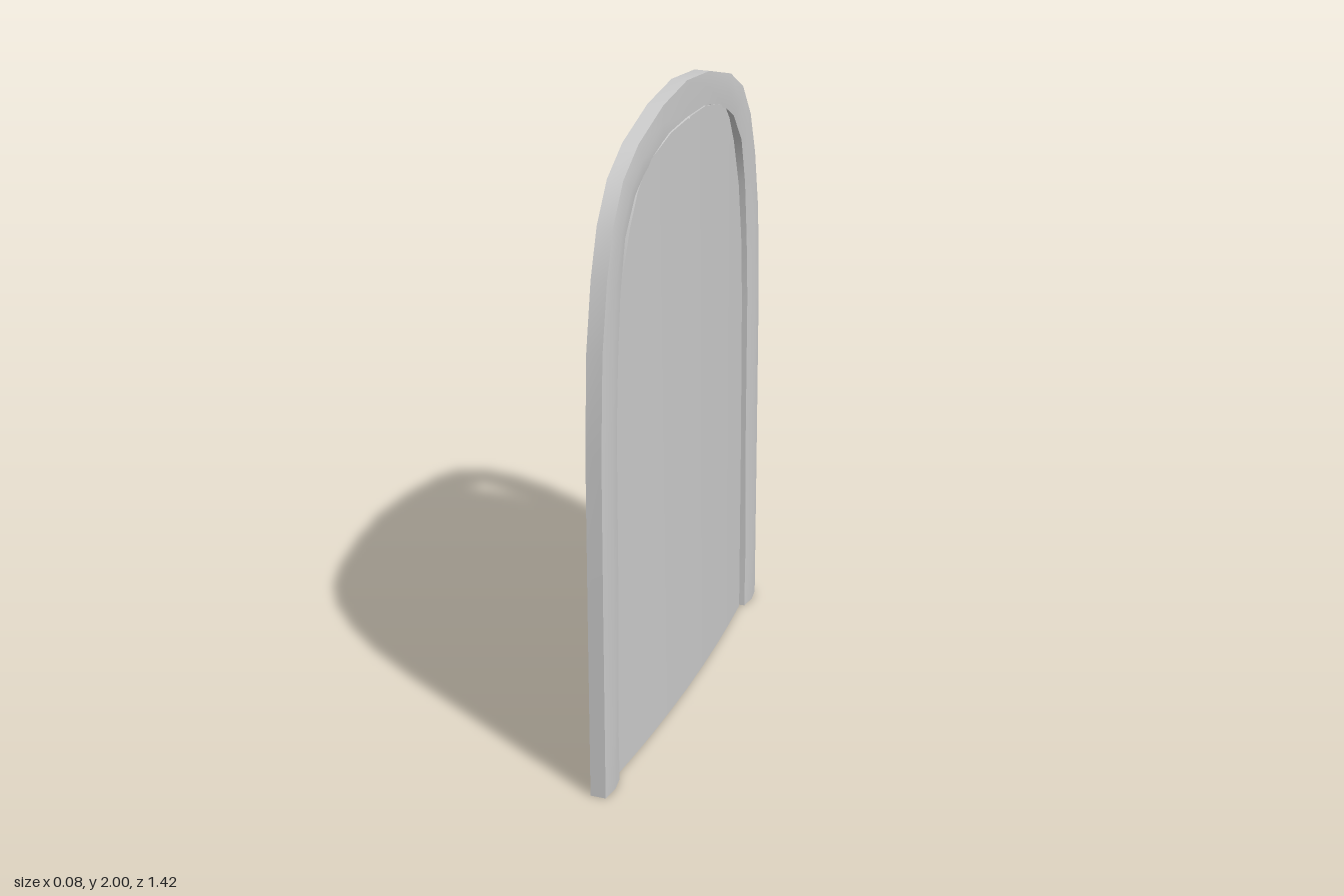
import * as THREE from 'three';
import { toCreasedNormals } from 'three/addons/utils/BufferGeometryUtils.js';

const material = new THREE.MeshStandardMaterial({ color: 0xcccccc });

// Skin a row of closed cross-sections and cap both ends
function loft(sections) {
  const n = sections[0].length, last = (sections.length - 1) * n;
  const pts = sections.flat(), index = [];
  for (let s = 0; s < sections.length - 1; s++) {
    for (let i = 0; i < n; i++) {
      const a = s * n + i, b = s * n + (i + 1) % n;
      index.push(a, b, b + n, a, b + n, a + n);
    }
  }
  for (let i = 1; i < n - 1; i++) {
    index.push(0, i + 1, i, last, last + i, last + i + 1);
  }
  // Turn the faces outward if the signed volume is negative
  let volume = 0;
  const v = new THREE.Vector3();
  for (let i = 0; i < index.length; i += 3) {
    const [a, b, c] = [0, 1, 2].map(k => pts[index[i + k]]);
    volume += a.dot(v.crossVectors(b, c));
  }
  if (volume < 0) index.reverse();
  const geometry = new THREE.BufferGeometry();
  geometry.setAttribute('position', new THREE.Float32BufferAttribute(pts.flatMap(p => p.toArray()), 3));
  geometry.setIndex(index);
  return toCreasedNormals(geometry, 0.45);
}

// Half arch from floor to crown: outer z, y, inner z, y, ridge x
const arch = [
  [0.71, 0, 0.595, 0, 0.036],
  [0.71, 0.2, 0.6, 0.2, 0.038],
  [0.71, 0.6, 0.588, 0.6, 0.036],
  [0.708, 1.1, 0.588, 1.13, 0.039],
  [0.69, 1.4, 0.573, 1.34, 0.036],
  [0.65, 1.6, 0.55, 1.53, 0.035],
  [0.6, 1.74, 0.51, 1.68, 0.036],
  [0.52, 1.85, 0.43, 1.78, 0.036],
  [0.4, 1.92, 0.36, 1.82, 0.034],
  [0.2, 1.978, 0.2, 1.875, 0.03],
  [0, 2, 0, 1.89, 0.028],
];

// Half door: z, height
const door = [
  [0, 1.885], [0.01, 1.89], [0.15, 1.885], [0.3, 1.85], [0.36, 1.82], [0.4, 1.78],
  [0.455, 1.69], [0.52, 1.53], [0.56, 1.34], [0.578, 1.13], [0.587, 0.6],
];

// Both halves of a symmetric row, without repeating the middle
const mirrorRow = (half, side) => [
  ...half.map(r => side(r, 1)),
  ...half.slice(0, -1).reverse().map(r => side(r, -1)),
];

function frameSection([oz, oy, iz, iy, ridge], s) {
  const p = (x, t) => new THREE.Vector3(x, oy + (iy - oy) * t, s * (oz + (iz - oz) * t));
  return [p(-0.02, 0), p(0.028, 0), p(ridge, 0.5), p(0.028, 1), p(-0.02, 1)];
}

function doorSection([z, h], s) {
  const edge = z === 0 || z > 0.58;          // central groove and outer edges step in
  const back = edge ? -0.032 : -0.045;
  const front = 0.012 + 0.023 * (1 - (z / 0.587) ** 2);
  const p = (x, y) => new THREE.Vector3(x, y, s * z);
  return [p(back, 0), p(back, h - 0.01), p(back + 0.008, h), p(front, h), p(front, 0)];
}

export function createModel() {
  const group = new THREE.Group();
  group.name = 'archedDoor';
  const add = (name, sections) => {
    const mesh = new THREE.Mesh(loft(sections), material);
    mesh.name = name;
    group.add(mesh);
  };
  // Arched surround
  add('frame', mirrorRow(arch, frameSection));
  // Gently bowed panel with a seam down the back
  add('doorPanel', mirrorRow([...door].reverse(), doorSection));
  return group;
}
